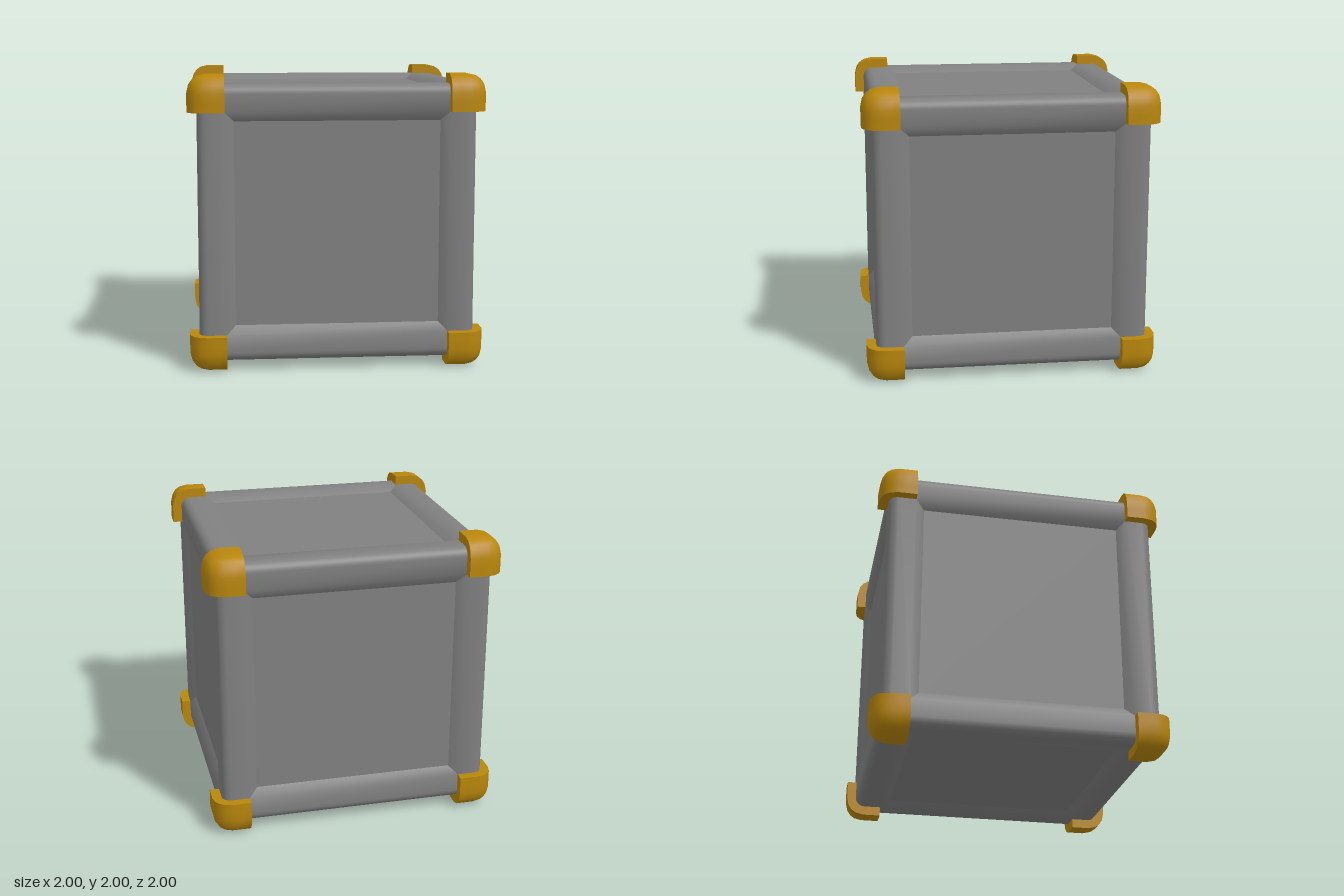
import * as THREE from 'three';
import { toCreasedNormals } from 'three/addons/utils/BufferGeometryUtils.js';

const HALF_TURN = Math.PI, QUARTER = Math.PI / 2;

// Edge beam along z: rounded outer corner, shallow slopes down to the panels
function beamGeometry() {
  const r = 0.065, out = 0.935, c = out - r, length = 1.75;
  const s = new THREE.Shape();
  s.moveTo(0.69, 0.69);
  s.lineTo(0.895, 0.69);
  s.lineTo(out, 0.75);
  s.lineTo(out, c);
  s.absarc(c, c, r, 0, QUARTER, false);
  s.lineTo(0.75, out);
  s.lineTo(0.69, 0.895);
  s.closePath();
  const geo = new THREE.ExtrudeGeometry(s, { depth: length, bevelEnabled: false, curveSegments: 5 });
  geo.translate(0, 0, -length / 2);
  return toCreasedNormals(geo, 0.7);
}

// Corner cap: a small cube whose three outer edges are rounded off
function capGeometry() {
  const size = 0.25, r = 0.125, core = 1 - r;
  const geo = new THREE.BoxGeometry(size, size, size, 4, 4, 4);
  geo.translate(1 - size / 2, 1 - size / 2, 1 - size / 2);
  const pos = geo.attributes.position;
  const p = new THREE.Vector3(), base = new THREE.Vector3(), d = new THREE.Vector3();
  for (let i = 0; i < pos.count; i++) {
    p.fromBufferAttribute(pos, i);
    base.set(Math.min(p.x, core), Math.min(p.y, core), Math.min(p.z, core));
    d.subVectors(p, base);
    const reach = Math.max(d.x, d.y, d.z);
    if (reach > 1e-6) p.copy(base).addScaledVector(d.normalize(), reach);
    pos.setXYZ(i, p.x, p.y, p.z);
  }
  return toCreasedNormals(geo, 0.7);
}

export function createModel() {
  const model = new THREE.Group();
  model.name = 'crate';
  const body = new THREE.Group();
  body.position.y = 1;
  model.add(body);

  const grey = new THREE.MeshStandardMaterial({ color: 0x808080 });
  const gold = new THREE.MeshStandardMaterial({ color: 0xb8860b });

  // Recessed panels on all six sides
  const panels = new THREE.Mesh(new THREE.BoxGeometry(1.79, 1.79, 1.79), grey);
  // Keep the panel block inside the rounded beams
  panels.geometry.dispose();
  panels.geometry = new THREE.BoxGeometry(1.4, 1.4, 1.79);
  panels.name = 'frontAndBackPanels';
  body.add(panels);
  const sides = new THREE.Mesh(new THREE.BoxGeometry(1.79, 1.4, 1.4), grey);
  sides.name = 'sidePanels';
  const ends = new THREE.Mesh(new THREE.BoxGeometry(1.4, 1.79, 1.4), grey);
  ends.name = 'topAndBottomPanels';
  body.add(sides, ends);

  // Twelve edge beams: four around each axis
  const beamGeo = beamGeometry();
  for (const [x, y] of [[0, 0], [QUARTER, 0], [0, QUARTER]]) {
    const ring = new THREE.Group();
    ring.name = 'edgeBeams';
    ring.rotation.set(x, y, 0);
    for (let k = 0; k < 4; k++) {
      const beam = new THREE.Mesh(beamGeo, grey);
      beam.name = 'edgeBeam';
      beam.rotation.z = k * QUARTER;
      ring.add(beam);
    }
    body.add(ring);
  }

  // Eight corner caps: four on top, four on the bottom
  const capGeo = capGeometry();
  for (const flip of [0, HALF_TURN]) {
    const level = new THREE.Group();
    level.name = flip ? 'bottomCaps' : 'topCaps';
    level.rotation.x = flip;
    for (let k = 0; k < 4; k++) {
      const cap = new THREE.Mesh(capGeo, gold);
      cap.name = 'cornerCap';
      cap.rotation.y = k * QUARTER;
      level.add(cap);
    }
    body.add(level);
  }
  return model;
}
